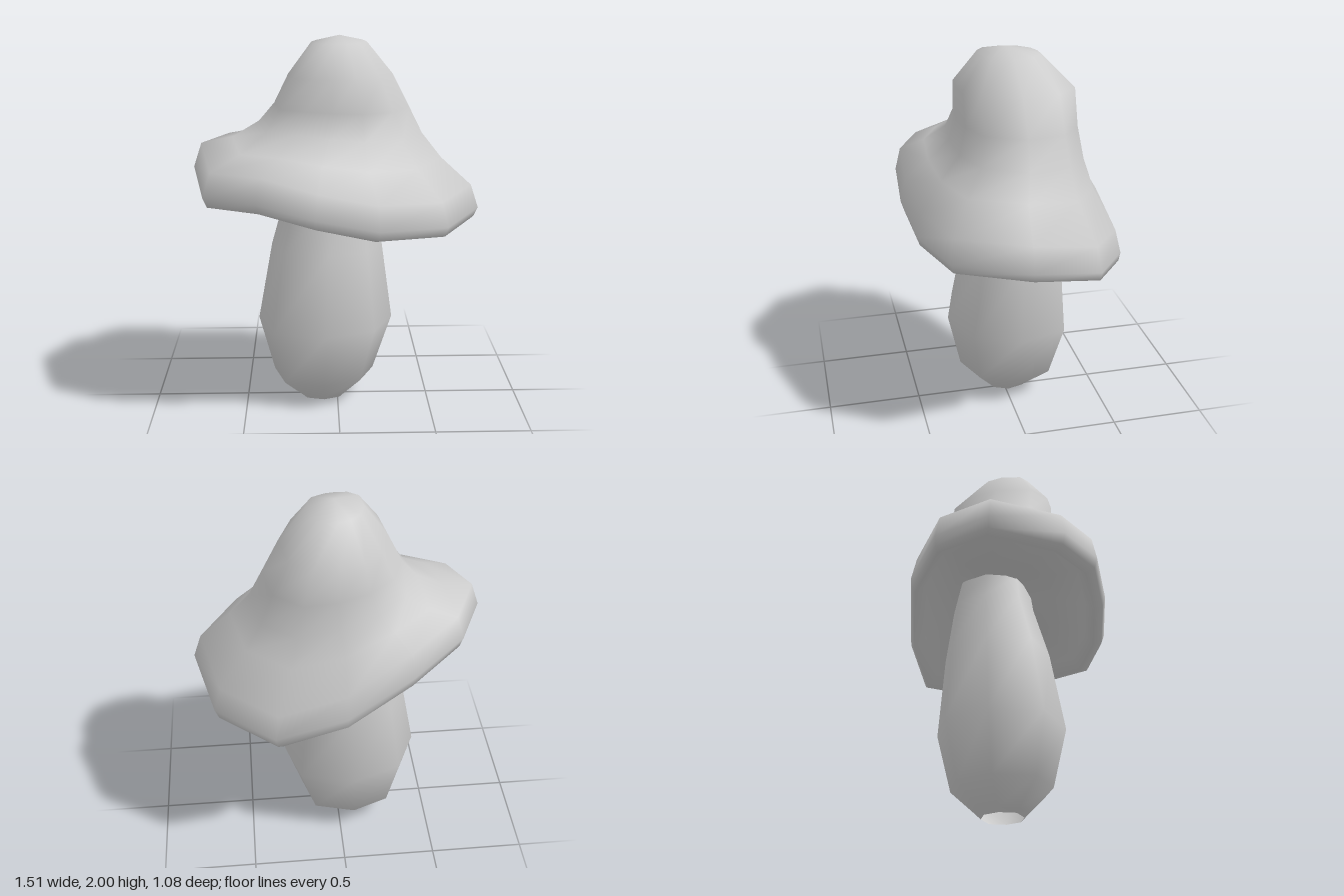
import * as THREE from 'three';
import { toCreasedNormals } from 'three/addons/utils/BufferGeometryUtils.js';

// Skin a stack of equal-length rings, each an array of [x, y, z]
function loft(rings) {
  const n = rings[0].length, index = [];
  for (let j = 0; j < rings.length - 1; j++) {
    for (let i = 0; i < n; i++) {
      const k = (i + 1) % n;
      const a = j * n + i, b = j * n + k, c = a + n, d = b + n;
      index.push(a, b, d, a, d, c);
    }
  }
  const geo = new THREE.BufferGeometry();
  geo.setAttribute('position', new THREE.Float32BufferAttribute(rings.flat(2), 3));
  geo.setIndex(index);
  return toCreasedNormals(geo, 1.3);
}

// Wavy cap rim: [x, lip height, z], counter-clockwise from above
const RIM = [
  [0.755, 1.03, 0.03], [0.655, 0.95, -0.34], [0.355, 0.9, -0.54], [-0.01, 1.0, -0.54],
  [-0.35, 1.18, -0.46], [-0.62, 1.265, -0.27], [-0.755, 1.265, 0.03], [-0.68, 1.18, 0.39],
  [-0.41, 1.18, 0.525], [-0.12, 1.1, 0.54], [0.2, 1.03, 0.505], [0.55, 1.02, 0.39],
];
const RIM_MEAN = 1.085;

// Scaled copy of the rim; wave says how much of its waviness is kept
const capRing = ([sx, sz, ox, oz, y, wave]) =>
  RIM.map(([x, h, z]) => [x * sx + ox, y + (h - RIM_MEAN) * wave, z * sz + oz]);

// Stem cross-section: eight-sided, drawn out along one diagonal
const stemRing = ([y, cx, cz, rx, rz]) =>
  Array.from({ length: 8 }, (_, i) => {
    const a = (i / 8) * Math.PI * 2, r = i % 4 === 1 ? 1.1 : 1;
    return [cx + r * rx * Math.cos(a), y, cz - r * rz * Math.sin(a)];
  });

export function createModel() {
  const group = new THREE.Group();
  const material = new THREE.MeshStandardMaterial({ color: 0xcccccc, side: THREE.DoubleSide });
  const add = (name, rings) => {
    const mesh = new THREE.Mesh(loft(rings), material);
    mesh.name = name;
    group.add(mesh);
  };

  // Cap: shallow underside, rolled lip, shoulder, bell and tip
  add('cap', [
    [0.2, 0.24, -0.02, -0.06, 1.24, 0.3],
    [0.5, 0.52, 0, -0.03, 1.2, 0.6],
    [0.8, 0.82, 0, -0.015, 1.135, 1],
    [0.9, 0.92, 0, -0.02, 1.075, 1],
    [0.97, 0.98, 0, -0.005, 1.09, 1],
    [1, 1, 0, 0, 1.14, 1],
    [0.945, 0.95, 0, 0, 1.265, 1],
    [0.73, 0.74, 0, -0.01, 1.385, 0.5],
    [0.57, 0.6, 0.02, -0.04, 1.5, 0.3],
    [0.47, 0.54, 0.025, -0.045, 1.63, 0.1],
    [0.36, 0.54, 0.017, -0.04, 1.8, 0],
    [0.19, 0.28, 0.01, -0.02, 1.965, 0],
    [0, 0, 0.01, 0, 2, 0],
  ].map(capRing));

  // Stem: bulging hollow body, open at the foot
  add('stem', [
    [0, -0.075, -0.015, 0.12, 0.11],
    [0.02, -0.075, -0.015, 0.14, 0.13],
    [0.145, -0.075, -0.02, 0.275, 0.262],
    [0.45, -0.065, -0.025, 0.367, 0.335],
    [0.87, -0.055, -0.05, 0.3, 0.28],
    [1.15, -0.04, -0.075, 0.235, 0.22],
    [1.28, -0.035, -0.075, 0.215, 0.2],
  ].map(stemRing));

  return group;
}
